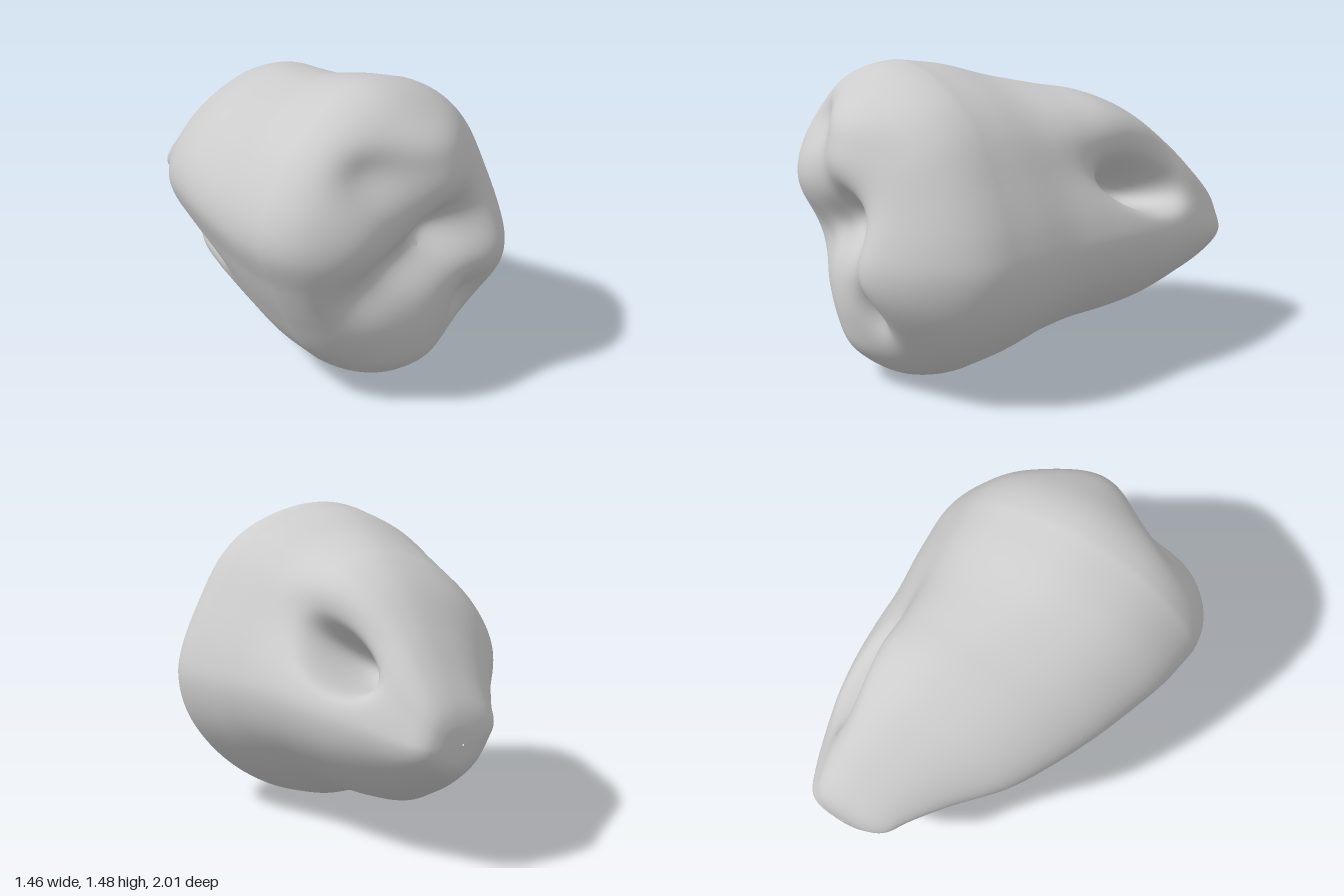
import * as THREE from 'three';

// Outline of the widest section, counter-clockwise, as [x, y]
const OUTLINE = [
  [-0.07, 1.48], [-0.35, 1.41], [-0.55, 1.27], [-0.7, 1.05], [-0.73, 0.88], [-0.65, 0.67],
  [-0.55, 0.46], [-0.42, 0.25], [-0.2, 0.07], [0, 0], [0.25, 0.06], [0.5, 0.22],
  [0.68, 0.45], [0.73, 0.65], [0.7, 0.8], [0.6, 1.02], [0.45, 1.26], [0.26, 1.4],
];

// Sections along the body: z, left x, right x, bottom y, top y
const SECTIONS = [
  [-1, 0.32, 0.33, 0.555, 0.565], [-0.99, 0.2, 0.46, 0.47, 0.65], [-0.95, 0.105, 0.53, 0.41, 0.735],
  [-0.85, 0.025, 0.575, 0.34, 0.855], [-0.7, -0.11, 0.62, 0.27, 1.01], [-0.5, -0.31, 0.67, 0.19, 1.18],
  [-0.3, -0.44, 0.695, 0.155, 1.28], [-0.1, -0.54, 0.7, 0.135, 1.325], [0.1, -0.62, 0.7, 0.09, 1.375],
  [0.3, -0.69, 0.72, 0.03, 1.44], [0.5, -0.73, 0.73, 0, 1.48],
];

// Lobes and hollows on the front: x, y, height, width x, width y
const FRONT_RELIEF = [
  [-0.35, 0.65, -0.08, 0.35, 0.5], // flatter left half
  [0.05, 1.13, 0.07, 0.2, 0.16], [0.02, 1.29, 0.06, 0.26, 0.1], // upper ridge
  [0.34, 0.64, 0.1, 0.15, 0.29], [0.52, 0.58, 0.06, 0.14, 0.26], // right ridge
  [-0.08, 0.32, 0.03, 0.2, 0.17], [-0.03, 0.17, 0.04, 0.25, 0.1], // lower lobe
  [-0.48, 0.92, 0.035, 0.16, 0.15], [-0.36, 1.2, -0.09, 0.17, 0.12], // left lobe and dimple above
  [0.05, 0.82, -0.16, 0.15, 0.13], [-0.17, 0.72, -0.1, 0.17, 0.13],
  [-0.4, 0.61, -0.07, 0.15, 0.13], [0.24, 0.43, -0.08, 0.1, 0.12], // valleys
];

const AROUND = 200, ALONG = 110, CAP = 60;

function frontRelief(x, y) {
  let h = 0;
  for (const [cx, cy, height, sx, sy] of FRONT_RELIEF) {
    h += height * Math.exp(-(((x - cx) / sx) ** 2) - ((y - cy) / sy) ** 2);
  }
  return h;
}

// Elliptical weight in the side plane, long axis tilted by slope
function sideWeight(p, z, y, length, width, slope, power) {
  const c = Math.cos(slope), s = Math.sin(slope);
  const dz = p.z - z, dy = p.y - y;
  const a = (dz * c + dy * s) / length, b = (dy * c - dz * s) / width;
  return Math.exp(-Math.pow(a * a + b * b, power));
}

// Deep slanted pocket on one flank, overhung groove on the other
function carveFlanks(p, side) {
  const q = p.clone();
  const right = THREE.MathUtils.smoothstep(side, 0.1, 0.5);
  const left = THREE.MathUtils.smoothstep(-side, 0.1, 0.5);
  p.x -= right * 0.1 * sideWeight(q, -0.35, 0.95, 0.34, 0.15, 0.25, 1);
  const pocket = right * sideWeight(q, -0.4, 0.88, 0.21, 0.085, 0.36, 1.5);
  p.x -= pocket * 0.24;
  p.y -= pocket * 0.12;
  const groove = left * sideWeight(q, -0.46, 0.5, 0.28, 0.1, 0, 1.2);
  p.x += groove * 0.14;
  p.y += groove * 0.08;
  p.z += groove * 0.06;
}

function bodyGeometry() {
  const ring = new THREE.CatmullRomCurve3(
    OUTLINE.map(([x, y]) => new THREE.Vector3(x / 0.73, (y - 0.74) / 0.74, 0)), true);
  const unit = ring.getSpacedPoints(AROUND).slice(0, AROUND);
  const curve = (a, b) => new THREE.CatmullRomCurve3(
    SECTIONS.map((s) => new THREE.Vector3(s[0], s[a], s[b])), false, 'catmullrom');
  const xCurve = curve(1, 2), yCurve = curve(3, 4);
  const positions = [], index = [];

  // Tapering body from the narrow back end to the widest section
  for (let i = 0; i <= ALONG; i++) {
    const xs = xCurve.getPoint(i / ALONG), ys = yCurve.getPoint(i / ALONG);
    const lean = 0.24 * THREE.MathUtils.smoothstep(-xs.x, -0.3, 0.4); // crest leans right
    for (const u of unit) {
      const ux = u.x + lean * Math.max(u.y, 0) * Math.max(0, 1 - u.x * u.x);
      const p = new THREE.Vector3(
        (xs.y + xs.z) / 2 + (ux * (xs.z - xs.y)) / 2,
        (ys.y + ys.z) / 2 + (u.y * (ys.z - ys.y)) / 2, xs.x);
      carveFlanks(p, u.x);
      positions.push(p.x, p.y, p.z);
    }
  }

  // Domed front with lobes and hollows
  for (let i = 1; i <= CAP; i++) {
    const angle = (i / CAP) * Math.PI / 2;
    const r = Math.max(0.0005, Math.pow(Math.max(0, Math.cos(angle)), 0.87));
    const h = Math.pow(Math.sin(angle), 0.87);
    for (const u of unit) {
      const x = u.x * 0.73 * r, y = 0.74 + u.y * 0.74 * r;
      positions.push(x, y, 0.5 + h * (0.45 + frontRelief(x, y)));
    }
  }

  const rings = ALONG + CAP + 1;
  for (let i = 0; i < rings - 1; i++) {
    for (let j = 0; j < AROUND; j++) {
      const k = (j + 1) % AROUND;
      const a = i * AROUND + j, b = i * AROUND + k;
      index.push(a, b, b + AROUND, a, b + AROUND, a + AROUND);
    }
  }
  const geometry = new THREE.BufferGeometry();
  geometry.setAttribute('position', new THREE.Float32BufferAttribute(positions, 3));
  geometry.setIndex(index);
  geometry.computeVertexNormals();
  return geometry;
}

export function createModel() {
  const group = new THREE.Group();
  group.name = 'lobedForm';
  const paleGrey = new THREE.MeshStandardMaterial({ color: 0xcccccc });
  paleGrey.name = 'paleGrey';
  const body = new THREE.Mesh(bodyGeometry(), paleGrey);
  body.name = 'body';
  group.add(body);
  return group;
}
